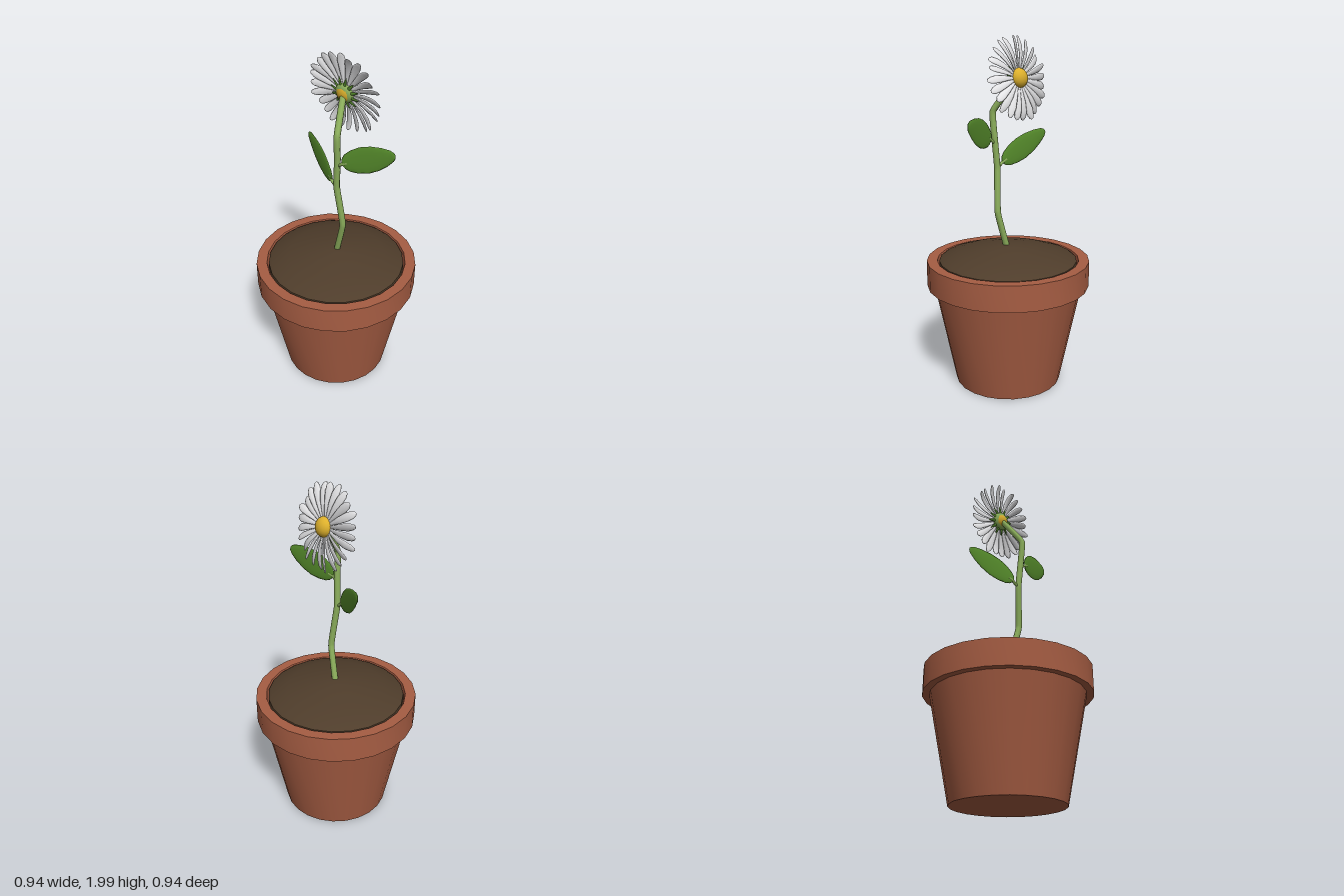
import * as THREE from 'three';
import { toCreasedNormals } from 'three/addons/utils/BufferGeometryUtils.js';

const V = (x, y, z) => new THREE.Vector3(x, y, z);
const material = (name, color) => {
  const m = new THREE.MeshStandardMaterial({ color });
  m.name = name;
  return m;
};

function addMesh(parent, name, geometry, mat) {
  const mesh = new THREE.Mesh(geometry, mat);
  mesh.name = name;
  parent.add(mesh);
  return mesh;
}

// Turned shape with crisp rims and smooth sides
function turned(profile) {
  const points = profile.map(([r, y]) => new THREE.Vector2(r, y));
  return toCreasedNormals(new THREE.LatheGeometry(points, 24), 0.7);
}

// Blade along +x from elliptical sections: [x, half width, half thickness, lift]
function blade(sections, sides = 8) {
  const positions = [], index = [];
  sections.forEach(([x, w, t, lift], i) => {
    for (let j = 0; j < sides; j++) {
      const a = (j / sides) * Math.PI * 2;
      positions.push(x, w * Math.cos(a), lift + t * Math.sin(a));
      if (i === sections.length - 1) continue;
      const p = i * sides + j, q = i * sides + ((j + 1) % sides);
      index.push(p, q, p + sides, q, q + sides, p + sides);
    }
  });
  const g = new THREE.BufferGeometry();
  g.setAttribute('position', new THREE.Float32BufferAttribute(positions, 3));
  g.setIndex(index);
  g.computeVertexNormals();
  return g;
}

function tube(points, radius, segments) {
  const curve = new THREE.CatmullRomCurve3(points, false, 'catmullrom', 0.15);
  return new THREE.TubeGeometry(curve, segments, radius, 8);
}

export function createModel() {
  const model = new THREE.Group();
  model.name = 'pottedDaisy';
  const terracotta = material('terracotta', 0xa65d43);
  const earth = material('earth', 0x4f3d2b);
  const stemGreen = material('stem green', 0x8caf5c);
  const leafGreen = material('leaf green', 0x558a2b);
  const white = material('petal white', 0xe8e8ea);
  const yellow = material('yellow', 0xddb02c);

  // Pot with a thick rim, and mounded soil
  addMesh(model, 'pot', turned([
    [0, 0], [0.31, 0], [0.43, 0.59], [0.47, 0.59], [0.47, 0.74], [0.41, 0.74], [0.4, 0.69], [0.36, 0.69],
  ]), terracotta);
  addMesh(model, 'soil', turned([
    [0.4, 0.7], [0.398, 0.738], [0.38, 0.75], [0.28, 0.782], [0.15, 0.811], [0.06, 0.823], [0, 0.825],
  ]), earth);

  // Crooked stem
  addMesh(model, 'stem', tube([
    V(0, 0.78, 0), V(0.065, 1.02, 0.022), V(0.04, 1.27, 0.045), V(0.052, 1.45, 0.055),
    V(0.055, 1.59, 0.062), V(0.002, 1.77, -0.06),
  ], 0.018, 60), stemGreen);

  // Leaves in upright planes, each on a short stalk
  const outline = [[0, 0.012], [0.03, 0.03], [0.1, 0.047], [0.24, 0.062], [0.42, 0.07],
    [0.62, 0.064], [0.8, 0.048], [0.94, 0.028], [0.985, 0.014], [1, 0]];
  const leaves = [
    ['right', V(0.04, 1.27, 0.046), V(0.0, 1.3, 0.04), V(-0.25, 1.465, -0.073), 0.95],
    ['left', V(0.05, 1.41, 0.053), V(0.085, 1.435, 0.055), V(0.36, 1.545, -0.025), 1.1],
  ];
  for (const [side, root, base, tip, width] of leaves) {
    const axis = tip.clone().sub(base);
    const length = axis.length();
    axis.normalize();
    const normal = V(0, 1, 0).cross(axis).normalize().negate();
    const across = normal.clone().cross(axis);
    const sections = outline.map(([t, w]) => [t * length, w * width, Math.min(0.007, w * 0.3), 0]);
    const leaf = addMesh(model, side + 'Leaf', blade(sections, 12), leafGreen);
    leaf.quaternion.setFromRotationMatrix(new THREE.Matrix4().makeBasis(axis, across, normal));
    leaf.position.copy(base);
    addMesh(model, side + 'LeafStalk', tube([root, base, base.clone().addScaledVector(axis, 0.03)], 0.009, 8), stemGreen);
  }

  // Flower head, facing local +z and tipped slightly upward
  const flower = new THREE.Group();
  flower.name = 'flowerHead';
  flower.position.set(0.002, 1.77, -0.075);
  flower.lookAt(flower.position.clone().add(V(0.04, 0.19, -0.98)));
  model.add(flower);

  const dome = addMesh(flower, 'flowerCentre', new THREE.SphereGeometry(0.054, 20, 12), yellow);
  dome.scale.z = 0.8;
  dome.position.z = 0.003;
  const calyx = addMesh(flower, 'calyx', new THREE.SphereGeometry(0.057, 16, 10), stemGreen);
  calyx.scale.z = 0.5;
  calyx.position.z = -0.007;

  // Petals, gently waved and twisted so that neighbours overlap
  const petalCount = 24;
  for (let i = 0; i < petalCount; i++) {
    const wave = Math.sin(i * 2.4);
    const reach = 0.232 + 0.005 * Math.sin(i * 1.7);
    const petal = addMesh(flower, 'petal', blade([
      [0.03, 0.006, 0.004, 0], [0.08, 0.012, 0.005, 0.006], [0.13, 0.018, 0.006, 0.008],
      [0.18, 0.022, 0.006, 0.004 + wave * 0.004], [0.21, 0.019, 0.005, -0.003 + wave * 0.008],
      [reach - 0.006, 0.011, 0.004, -0.008 + wave * 0.011], [reach, 0, 0, -0.01 + wave * 0.012],
    ]), white);
    petal.rotation.set(0.35 + 0.15 * wave, 0, (i / petalCount) * Math.PI * 2, 'ZYX');
  }

  // Sepals behind the petals
  for (let i = 0; i < 12; i++) {
    const sepal = addMesh(flower, 'sepal', blade([
      [0.03, 0.01, 0.004, -0.014], [0.06, 0.009, 0.004, -0.013], [0.082, 0.006, 0.003, -0.008], [0.096, 0, 0, -0.004],
    ], 6), leafGreen);
    sepal.rotation.z = ((i + 0.5) / 12) * Math.PI * 2;
  }
  return model;
}
